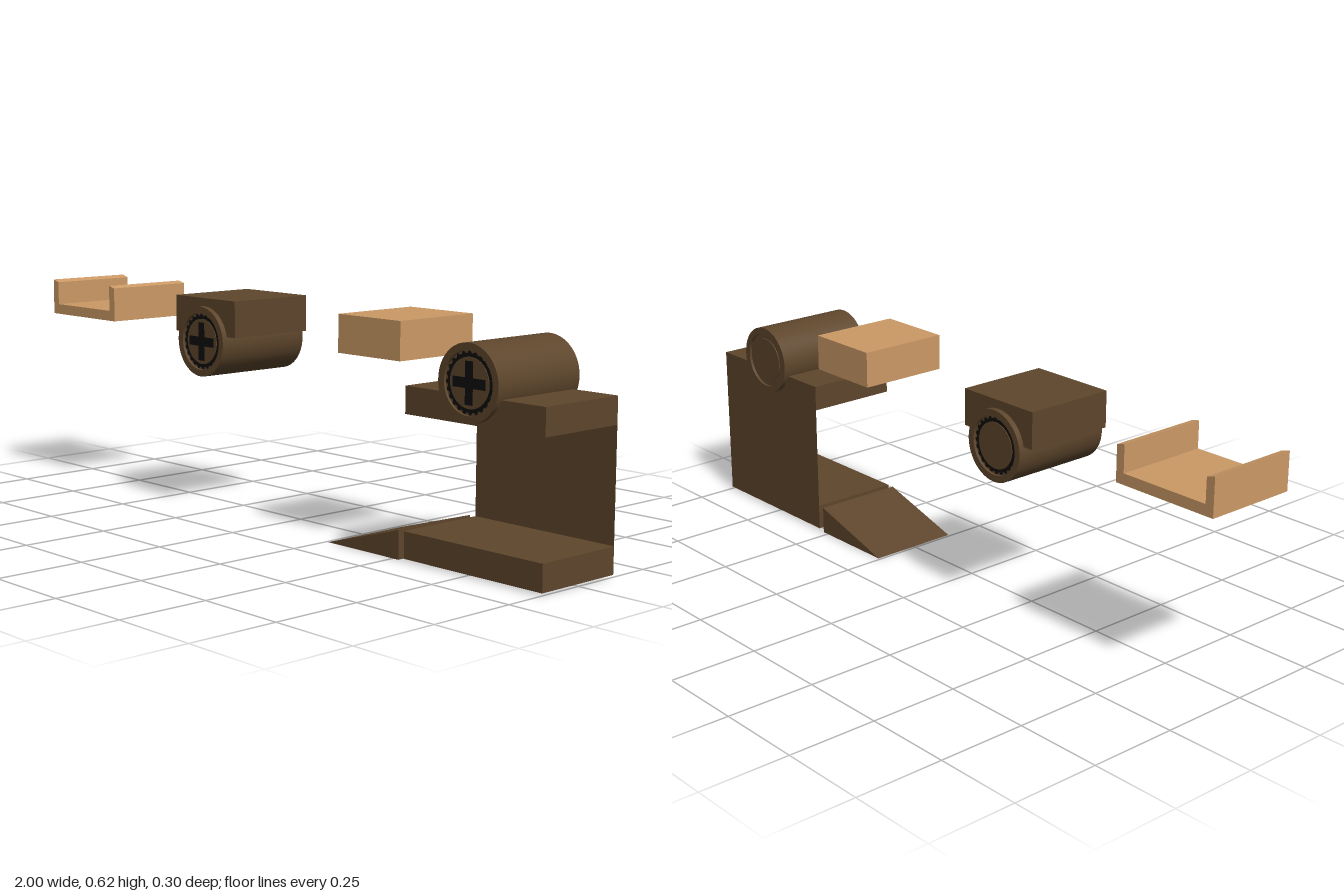
import * as THREE from 'three';
import { toCreasedNormals } from 'three/addons/utils/BufferGeometryUtils.js';

const W = 0.266; // shared depth of the block parts

export function createModel() {
  const root = new THREE.Group();
  root.name = 'blockParts';

  const brown = new THREE.MeshStandardMaterial({ color: 0x5e462c });
  brown.name = 'darkBrown';
  const tan = new THREE.MeshStandardMaterial({ color: 0xcc9a66 });
  tan.name = 'tan';
  const black = new THREE.MeshStandardMaterial({ color: 0x100e0c });
  black.name = 'black';
  const brownSheet = new THREE.MeshStandardMaterial({ color: 0x5e462c, side: THREE.DoubleSide });
  brownSheet.name = 'darkBrownSheet';

  function add(parent, name, geometry, material) {
    const mesh = new THREE.Mesh(geometry, material);
    mesh.name = name;
    parent.add(mesh);
    return mesh;
  }

  // Box given by its x and y limits, centred on z
  function block(parent, name, x0, x1, y0, y1, material) {
    const mesh = add(parent, name, new THREE.BoxGeometry(x1 - x0, y1 - y0, W), material);
    mesh.position.set((x0 + x1) / 2, (y0 + y1) / 2, 0);
  }

  // Side profile pulled along z
  function prism(parent, name, points, material) {
    const shape = new THREE.Shape(points.map(([x, y]) => new THREE.Vector2(x, y)));
    const geometry = new THREE.ExtrudeGeometry(shape, { depth: W, bevelEnabled: false });
    geometry.translate(0, 0, -W / 2);
    add(parent, name, geometry, material);
  }

  // Ring with a finely toothed outer edge
  function toothedRing() {
    const shape = new THREE.Shape();
    const steps = 96;
    for (let i = 0; i < steps; i++) {
      const a = (i / steps) * Math.PI * 2;
      const r = i % 4 < 2 ? 0.079 : 0.073;
      if (i === 0) shape.moveTo(r, 0);
      else shape.lineTo(r * Math.cos(a), r * Math.sin(a));
    }
    shape.closePath();
    const hole = new THREE.Path();
    hole.absarc(0, 0, 0.064, 0, Math.PI * 2, true);
    shape.holes.push(hole);
    return new THREE.ShapeGeometry(shape, 48);
  }

  // Plus-shaped screw slot
  function crossShape() {
    const a = 0.054, b = 0.013;
    const points = [];
    for (let i = 0; i < 4; i++) {
      for (const [x, y] of [[b, b], [b, a], [-b, a]]) {
        points.push(new THREE.Vector2(x, y).rotateAround(new THREE.Vector2(), i * Math.PI / 2));
      }
    }
    return new THREE.ShapeGeometry(new THREE.Shape(points));
  }

  // Round barrel along z with a grooved face at both ends
  function barrel(name, x, y, darkBack) {
    const group = new THREE.Group();
    group.name = name;
    group.position.set(x, y, 0);
    root.add(group);

    const h = 0.149, floor = 0.141;
    const half = [[0, 0.144], [0.064, 0.144], [0.064, floor], [0.08, floor], [0.08, h], [0.099, h]];
    const profile = [
      ...half.map(([r, z]) => new THREE.Vector2(r, -z)),
      ...half.slice().reverse().map(([r, z]) => new THREE.Vector2(r, z)),
    ];
    const body = new THREE.LatheGeometry(profile, 48);
    body.rotateX(Math.PI / 2);
    add(group, 'barrelBody', toCreasedNormals(body, 0.6), brown);

    add(group, 'frontRing', toothedRing(), black).position.z = floor + 0.001;
    add(group, 'screwCross', crossShape(), black).position.z = 0.1455;
    if (darkBack) {
      const ring = add(group, 'backRing', toothedRing(), black);
      ring.rotation.y = Math.PI;
      ring.position.z = -floor - 0.001;
    }
  }

  // Open tray with two low side walls
  prism(root, 'tray', [
    [-1, 0.511], [-0.685, 0.511], [-0.685, 0.61], [-0.71, 0.616], [-0.71, 0.541],
    [-0.975, 0.541], [-0.975, 0.609], [-1, 0.616],
  ], tan);

  // Capped barrel
  block(root, 'barrelCap', -0.385, -0.125, 0.511, 0.613, brown);
  barrel('capBarrel', -0.257, 0.491, true);

  // Loose block
  block(root, 'looseBlock', 0.293, 0.52, 0.511, 0.613, tan);

  // Bracket: two shelves joined by a sheet at the back
  const bracket = new THREE.Group();
  bracket.name = 'bracket';
  root.add(bracket);
  block(bracket, 'upperShelf', 0.54, 1, 0.38, 0.452, brown);
  block(bracket, 'lowerShelf', 0.54, 1, 0.006, 0.078, brown);
  const sheet = add(bracket, 'backSheet', new THREE.PlaneGeometry(0.46, 0.302), brownSheet);
  sheet.position.set(0.77, 0.229, -W / 2);
  barrel('bracketBarrel', 0.767, 0.484, false);

  // Sloping toe
  prism(root, 'wedge', [[0.257, 0], [0.52, 0], [0.52, 0.078]], brown);

  return root;
}
